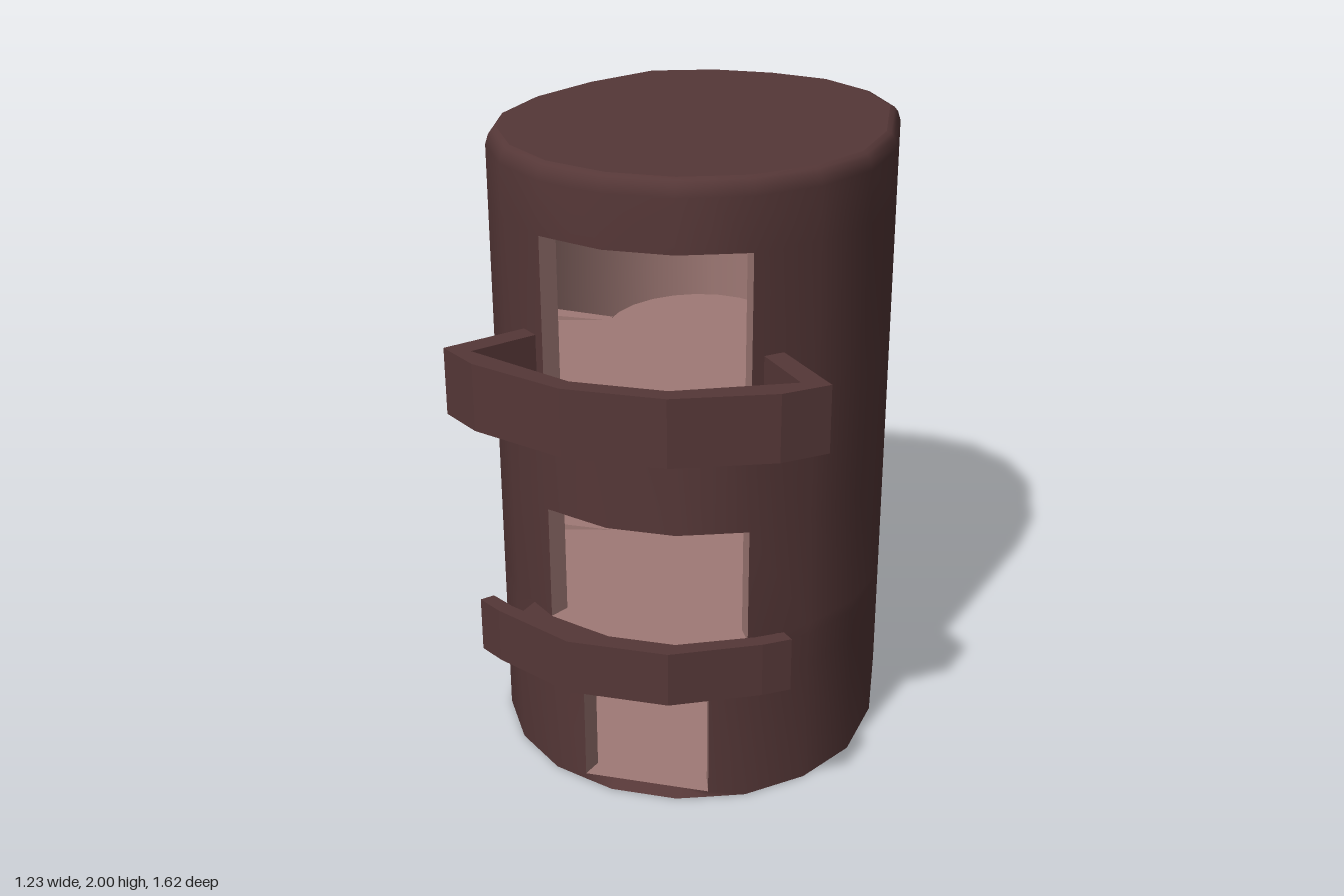
import * as THREE from 'three';

const CZ = -0.13; // centre line of the tower in z
const OUTER = new THREE.MeshStandardMaterial({ color: 0x553737, side: THREE.DoubleSide });
const INNER = new THREE.MeshStandardMaterial({ color: 0xa07a76, side: THREE.DoubleSide });

// Tower outline as [x, z], from the back round by the left to the front and on
const PLAN = [
  [-0.1, -0.81], [0.11, -0.81], [0.31, -0.76], [0.47, -0.63], [0.58, -0.44], [0.615, -0.11],
  [0.58, 0.14], [0.47, 0.33], [0.31, 0.47], [0.2, 0.511], [0.105, 0.545], [-0.105, 0.545],
  [-0.2, 0.511], [-0.31, 0.47], [-0.47, 0.33], [-0.58, 0.14], [-0.615, -0.06],
  [-0.58, -0.28], [-0.47, -0.52], [-0.31, -0.74],
];
const N = PLAN.length;
const LEVELS = [0, 0.02, 0.415, 0.52, 0.56, 0.93, 1.32, 1.79, 1.95];

// Openings: half width, bottom, top
const OPENINGS = [[0.2, 0.02, 0.415], [0.31, 0.56, 0.93], [0.31, 1.32, 1.79]];

const scaled = (s) => PLAN.map(([x, z]) => [x * s, CZ + (z - CZ) * s]);

function add(group, name, geometry, material) {
  const mesh = new THREE.Mesh(geometry, material);
  mesh.name = name;
  group.add(mesh);
  return mesh;
}

// Upright prism over an [x, z] outline
function slab(points, y, height) {
  const shape = new THREE.Shape(points.map(([x, z]) => new THREE.Vector2(x, -z)));
  const g = new THREE.ExtrudeGeometry(shape, { depth: height, bevelEnabled: false });
  return g.rotateX(-Math.PI / 2).translate(0, y, 0);
}

function flat(points, y) {
  const shape = new THREE.Shape(points.map(([x, z]) => new THREE.Vector2(x, -z)));
  return new THREE.ShapeGeometry(shape).rotateX(-Math.PI / 2).translate(0, y, 0);
}

function isHole(i, j) {
  const a = PLAN[i % N], b = PLAN[(i + 1) % N];
  if (j < 0 || j >= LEVELS.length - 1 || Math.min(a[1], b[1]) < 0.4) return false;
  const reach = Math.max(Math.abs(a[0]), Math.abs(b[0]));
  return OPENINGS.some(([w, lo, hi]) => reach <= w + 0.001 && LEVELS[j] >= lo && LEVELS[j + 1] <= hi);
}

// Smooth wall skin made of rings, leaving out the openings
function skin(rings, inward) {
  const index = [];
  for (let j = 0; j < rings.length - 1; j++) {
    for (let i = 0; i < N; i++) {
      if (isHole(i, j)) continue;
      const a0 = j * N + i, b0 = j * N + (i + 1) % N, a1 = a0 + N, b1 = b0 + N;
      if (inward) index.push(a0, b0, b1, a0, b1, a1);
      else index.push(a0, a1, b1, a0, b1, b0);
    }
  }
  const g = new THREE.BufferGeometry();
  g.setAttribute('position', new THREE.Float32BufferAttribute(rings.flat(2), 3));
  g.setIndex(index);
  g.computeVertexNormals();
  return g;
}

// Strips closing the wall thickness around every opening
function reveals(out, inn) {
  const pos = [];
  const quad = (a, b, c, d) => pos.push(...a, ...b, ...c, ...a, ...c, ...d);
  for (let j = 0; j < LEVELS.length - 1; j++) {
    for (let i = 0; i < N; i++) {
      if (!isHole(i, j)) continue;
      const k = (i + 1) % N;
      if (!isHole(i, j - 1)) quad(out[j][i], out[j][k], inn[j][k], inn[j][i]);
      if (!isHole(i, j + 1)) quad(out[j + 1][k], out[j + 1][i], inn[j + 1][i], inn[j + 1][k]);
      if (!isHole(i + N - 1, j)) quad(out[j][i], inn[j][i], inn[j + 1][i], out[j + 1][i]);
      if (!isHole(k, j)) quad(inn[j][k], out[j][k], out[j + 1][k], inn[j + 1][k]);
    }
  }
  const g = new THREE.BufferGeometry();
  g.setAttribute('position', new THREE.Float32BufferAttribute(pos, 3));
  g.computeVertexNormals();
  return g;
}

// Point on the stair ellipse: 0 is the left side, PI the right, by way of the back
const onStair = (a, s) => [0.52 * s * Math.cos(a), CZ - 0.58 * s * Math.sin(a)];

function staircase(y0, y1) {
  const stair = new THREE.Group();
  const steps = 28;
  for (let i = 0; i < steps; i++) {
    const a = (i / steps) * Math.PI, b = ((i + 1) / steps) * Math.PI;
    const top = y0 + ((y1 - y0) * (i + 1)) / steps;
    const outline = [onStair(a, 0.55), onStair(a, 1), onStair(b, 1), onStair(b, 0.55)];
    add(stair, 'step', slab(outline, top - 0.04, 0.039), INNER);
  }
  return stair;
}

// Half outline, front to wall, completed by its mirror image
const mirrored = (half) => [...half, ...half.map(([x, z]) => [-x, z]).reverse()];

function balcony(y, height, outer, inner, floorHalf) {
  const g = new THREE.Group();
  add(g, 'balconyFloor', slab(mirrored(floorHalf), y, 0.04), OUTER);
  const left = [...outer].reverse();
  const flip = ([x, z]) => [-x, z];
  const outline = [...left, ...outer.map(flip), ...[...inner].reverse().map(flip), ...inner];
  add(g, 'parapet', slab(outline, y, height), OUTER);
  return g;
}

export function createModel() {
  const model = new THREE.Group();
  model.name = 'tower';

  // Wall rings; the door lintel is pulled flat
  const ringAt = (s, y) => scaled(s).map(([x, z]) => [x, y, z]);
  const out = LEVELS.map((y) => ringAt(1, y));
  const inn = LEVELS.map((y) => ringAt(0.9, y));
  for (const j of [1, 2]) for (const i of [10, 11]) out[j][i][2] = 0.511;

  // Outer wall with rounded top edge
  const edge = [[0.985, 1.98], [0.968, 1.994], [0.945, 2]].map(([s, y]) => ringAt(s, y));
  add(model, 'outerWall', skin([...out, ...edge], false), OUTER);
  add(model, 'roof', flat(scaled(0.945), 2), OUTER);
  add(model, 'base', flat(PLAN, 0), OUTER);

  // Interior
  add(model, 'innerWall', skin(inn, true), INNER);
  add(model, 'openingReveals', reveals(out, inn), INNER);
  add(model, 'groundFloor', flat(scaled(0.9), 0.02), INNER);
  add(model, 'ceiling', flat(scaled(0.9), 1.95), INNER);

  // Upper floors, open at the back for the stairs
  const floorPlan = scaled(0.9).slice(5, 17);
  for (let i = 0; i <= 12; i++) floorPlan.push(onStair(Math.PI * (1 - i / 12), 0.55));
  for (const y of [0.52, 1.28]) add(model, 'upperFloor', slab(floorPlan, y, 0.04), INNER);

  // Curved stairs climbing along the back wall
  [[0.02, 0.56], [0.56, 1.32]].forEach(([a, b]) => {
    const stair = staircase(a, b);
    stair.name = 'staircase';
    model.add(stair);
  });

  // Balconies
  const wallSide = [[0.39, 0.4], [0.31, 0.465], [0.105, 0.54]];
  const lower = balcony(0.52, 0.17,
    [[0.15, 0.81], [0.4, 0.69], [0.475, 0.64]],
    [[0.14, 0.76], [0.37, 0.655], [0.445, 0.607]],
    [[0.15, 0.8], [0.39, 0.68], [0.45, 0.63], ...wallSide]);
  lower.name = 'lowerBalcony';
  const upper = balcony(1.275, 0.205,
    [[0.15, 0.81], [0.44, 0.7], [0.56, 0.605], [0.385, 0.4]],
    [[0.14, 0.755], [0.475, 0.61], [0.335, 0.44]],
    [[0.145, 0.79], [0.43, 0.68], [0.53, 0.6], ...wallSide]);
  upper.name = 'upperBalcony';
  model.add(lower, upper);
  return model;
}
